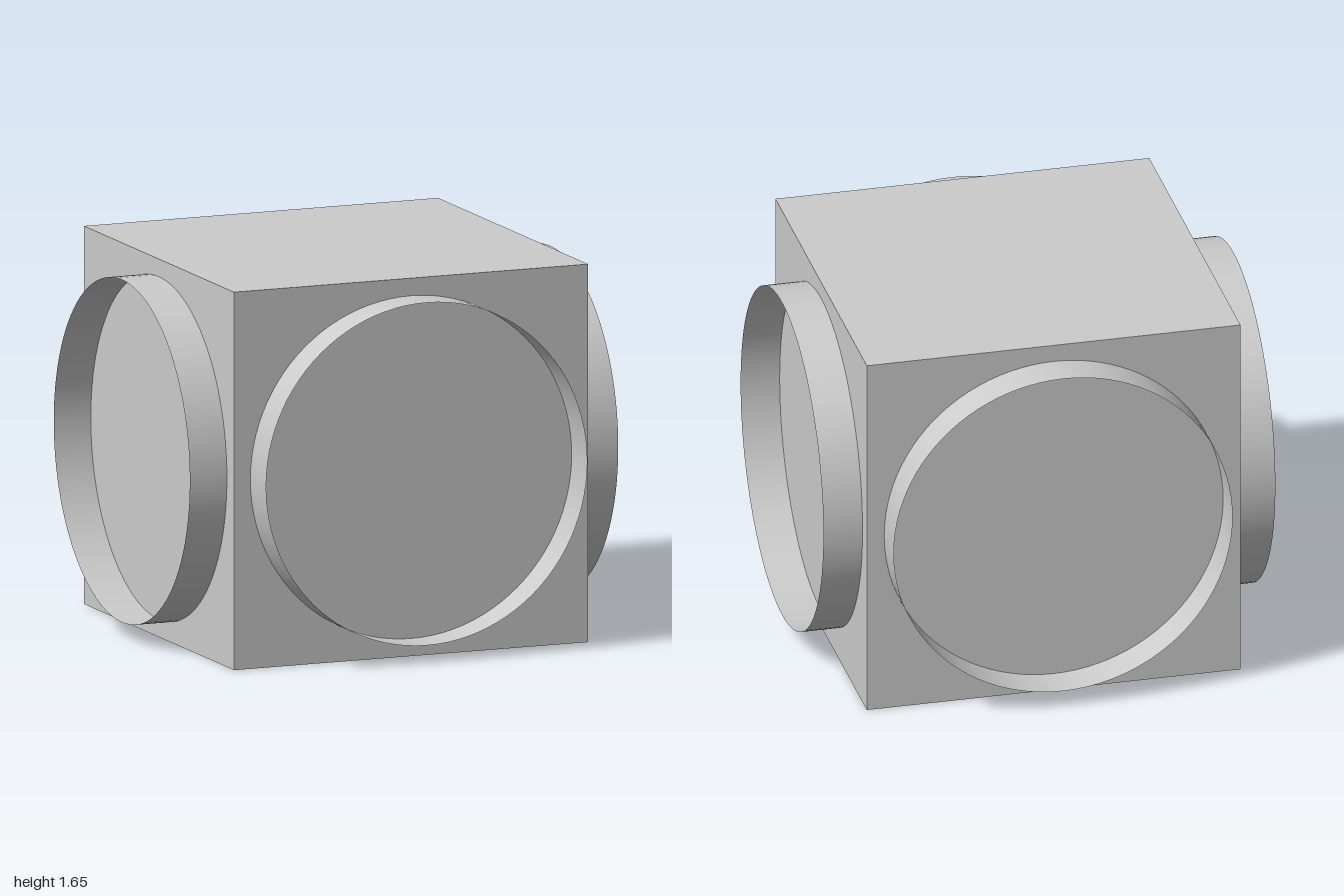
import * as THREE from 'three';

const SIZE = 1.654;        // edge of the cube
const HALF = SIZE / 2;
const REACH = 1;           // distance from the centre to a rim's outer edge
const RADIUS = 0.75;

export function createModel() {
  const model = new THREE.Group();
  model.name = 'cubeWithRims';
  const solid = new THREE.MeshStandardMaterial({ color: 0xcccccc });
  const thin = new THREE.MeshStandardMaterial({ color: 0xcccccc, side: THREE.DoubleSide });

  // Solid cube body
  const body = new THREE.Mesh(new THREE.BoxGeometry(SIZE, SIZE, SIZE), solid);
  body.name = 'body';
  body.position.y = HALF;
  model.add(body);

  // Thin open circular rim standing out from each of the four side faces
  const depth = REACH - HALF;
  const rimGeometry = new THREE.CylinderGeometry(RADIUS, RADIUS, depth, 96, 1, true);
  rimGeometry.rotateX(Math.PI / 2);
  rimGeometry.translate(0, 0, HALF + depth / 2);

  ['frontRim', 'leftRim', 'backRim', 'rightRim'].forEach((name, i) => {
    const rim = new THREE.Mesh(rimGeometry, thin);
    rim.name = name;
    rim.position.y = HALF;
    rim.rotation.y = i * Math.PI / 2;
    model.add(rim);
  });

  return model;
}
